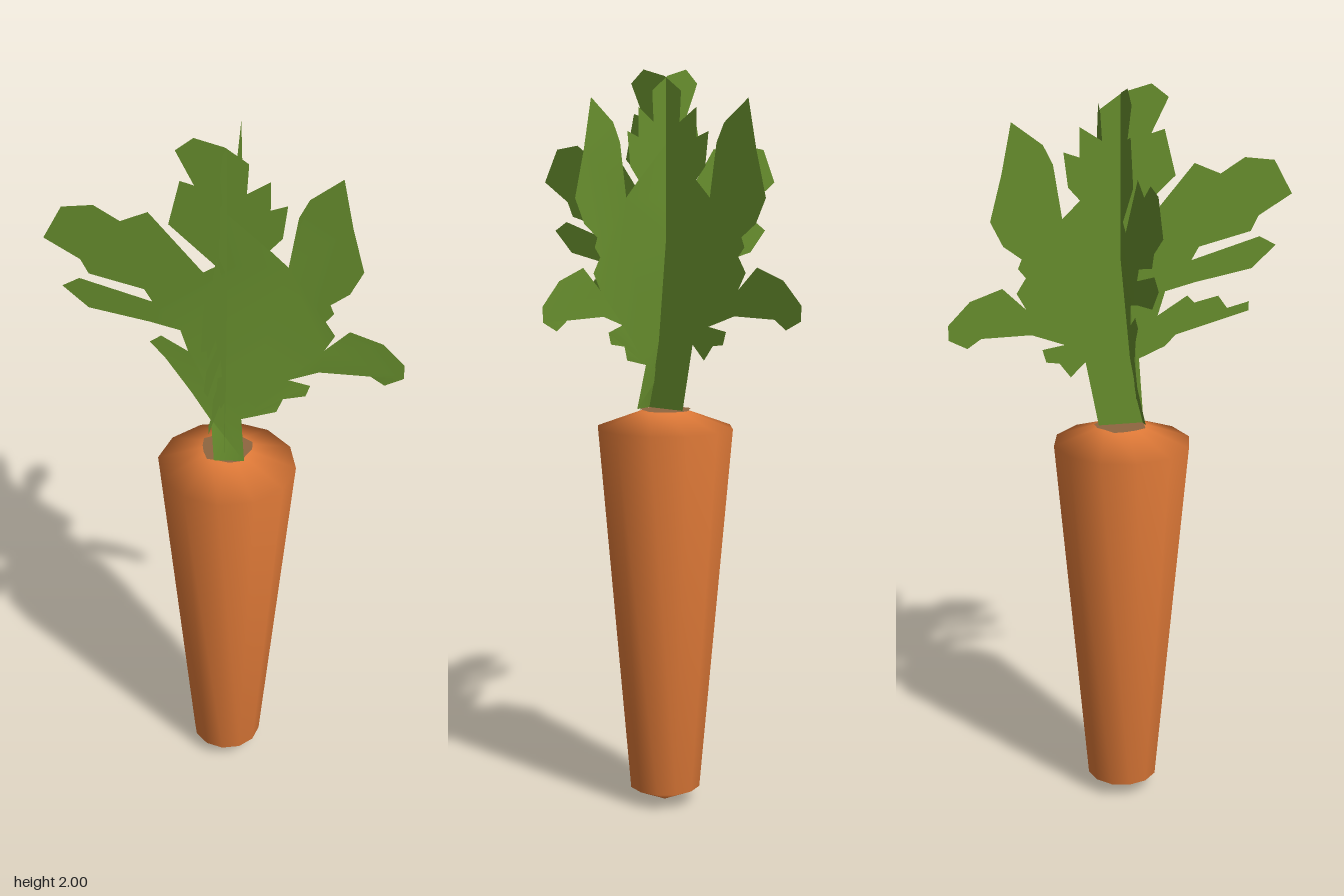
import * as THREE from 'three';

// Leaf outline above the lowest lobes, running from left to right over the top
const UPPER = [
  -0.12, 1.46, -0.20, 1.48, -0.355, 1.51, -0.42, 1.57, -0.375, 1.595, -0.19, 1.54, -0.21, 1.575,
  -0.35, 1.61, -0.37, 1.65, -0.46, 1.705, -0.41, 1.795, -0.33, 1.805, -0.265, 1.765, -0.195, 1.795,
  -0.06, 1.635, -0.027, 1.655, -0.145, 1.765, -0.115, 1.885, -0.08, 1.875, -0.125, 1.965, -0.08, 2.0,
  -0.005, 1.98, 0.053, 1.94, 0.048, 1.86, 0.106, 1.897, 0.106, 1.82, 0.148, 1.835, 0.137, 1.745,
  0.106, 1.71, 0.153, 1.665, 0.175, 1.805, 0.20, 1.855, 0.28, 1.915, 0.307, 1.785, 0.339, 1.665,
  0.307, 1.60, 0.26, 1.565, 0.27, 1.54, 0.25, 1.515, 0.275, 1.475, 0.25, 1.43, 0.312, 1.49,
  0.397, 1.46, 0.455, 1.40, 0.455, 1.36, 0.407, 1.335, 0.37, 1.36, 0.238, 1.362,
];
// Lowest lobes and stem: the front leaf is curled, the side leaf lies flat
const CURLED = {
  left: [-0.027, 1.10, -0.037, 1.21, -0.11, 1.31, -0.16, 1.375, -0.20, 1.42, -0.17, 1.44, -0.10, 1.40],
  right: [0.16, 1.335, 0.217, 1.32, 0.206, 1.288, 0.148, 1.278, 0.132, 1.24, 0.042, 1.22, 0.053, 1.10],
};
const FLAT = {
  left: [-0.063, 1.10, -0.05, 1.28, -0.12, 1.31, -0.15, 1.34, -0.35, 1.395, -0.35, 1.42, -0.29, 1.405,
    -0.265, 1.44, -0.20, 1.425, -0.18, 1.445, -0.10, 1.395],
  right: [0.15, 1.33, 0.21, 1.32, 0.20, 1.285, 0.165, 1.28, 0.135, 1.24, 0.095, 1.28, 0.06, 1.10],
};

function leafGeometry(base) {
  const flat = [...base.left, ...UPPER, ...base.right];
  const points = [];
  for (let i = 0; i < flat.length; i += 2) points.push(new THREE.Vector2(flat[i], flat[i + 1]));
  return new THREE.ShapeGeometry(new THREE.Shape(points));
}

// Bends the stem and lowest lobes forwards
function curlForward(geometry) {
  const p = geometry.attributes.position;
  for (let i = 0; i < p.count; i++) {
    const low = THREE.MathUtils.clamp((1.45 - p.getY(i)) / 0.35, 0, 1);
    const near = Math.max(0, 1 - Math.abs(p.getX(i)) / 0.27);
    p.setZ(i, 0.07 * Math.pow(low, 1.3) * near);
  }
  geometry.computeVertexNormals();
  return geometry;
}

export function createModel() {
  const model = new THREE.Group();
  const orange = new THREE.MeshStandardMaterial({ color: 0xe07a38 });
  orange.name = 'carrotOrange';
  const green = new THREE.MeshStandardMaterial({ color: 0x688f2e, side: THREE.DoubleSide });
  green.name = 'leafGreen';
  const brown = new THREE.MeshStandardMaterial({ color: 0x8f6540 });
  brown.name = 'crownBrown';

  const add = (name, geometry, material) => {
    const mesh = new THREE.Mesh(geometry, material);
    mesh.name = name;
    model.add(mesh);
    return mesh;
  };

  // Tapered twelve-sided root
  const profile = [[0, 0], [0.098, 0.045], [0.187, 1.05], [0.065, 1.095], [0, 1.095]];
  const root = add('root', new THREE.LatheGeometry(profile.map(([r, y]) => new THREE.Vector2(r, y)), 12), orange);
  root.position.z = 0.004;

  // Uneven brown patch where the leaves grow
  const crown = new THREE.Shape();
  for (let i = 0; i < 14; i++) {
    const a = (i / 14) * Math.PI * 2;
    const r = 0.068 + 0.006 * Math.sin(i * 2.3);
    crown[i ? 'lineTo' : 'moveTo'](Math.cos(a) * r, Math.sin(a) * r);
  }
  const patch = add('crownPatch', new THREE.ShapeGeometry(crown), brown);
  patch.rotation.x = -Math.PI / 2;
  patch.position.y = 1.099;

  // Two crossed leaves
  add('frontLeaf', curlForward(leafGeometry(CURLED)), green);
  const side = add('sideLeaf', leafGeometry(FLAT), green);
  side.rotation.y = Math.PI / 2;

  return model;
}
